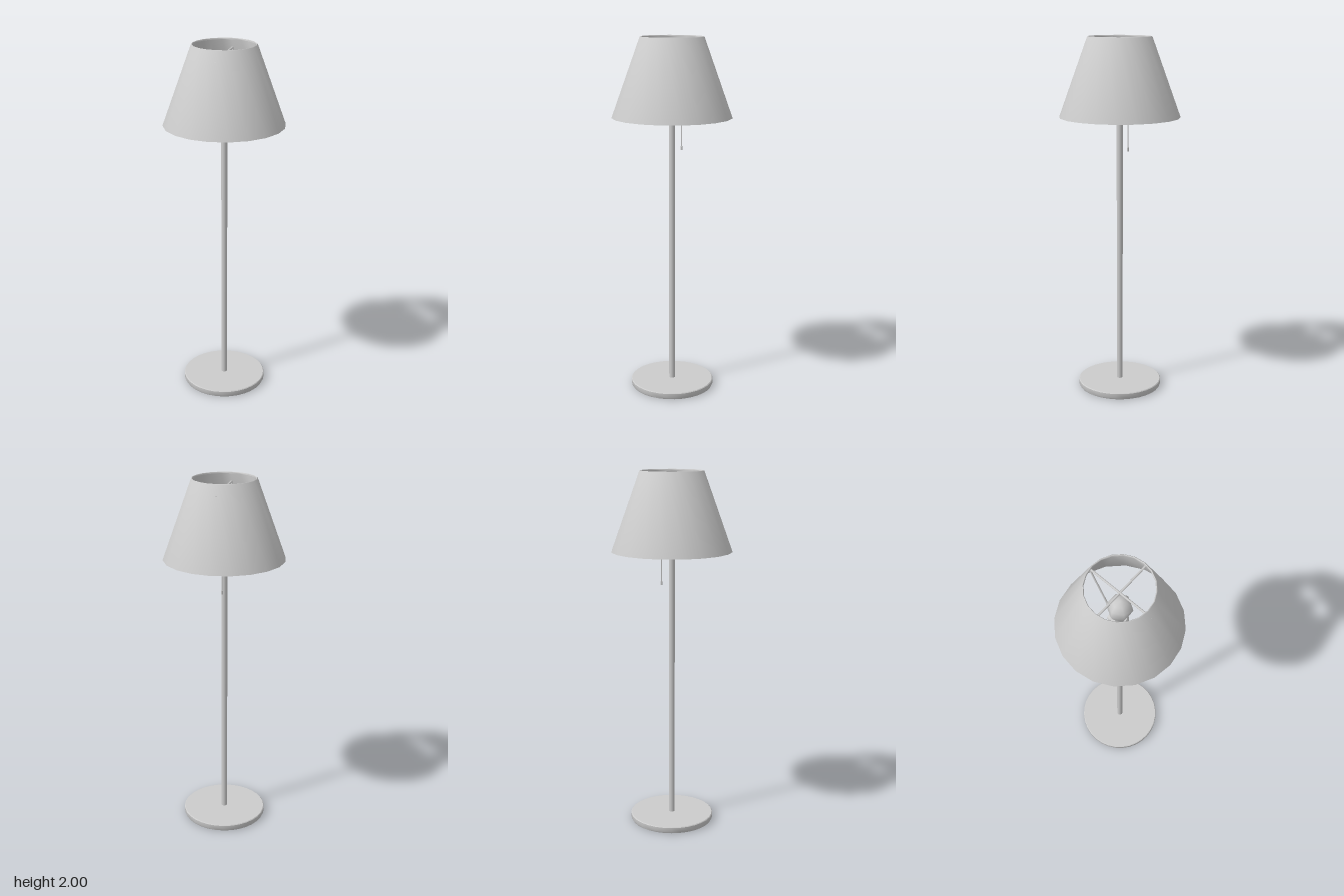
import * as THREE from 'three';
import { toCreasedNormals } from 'three/addons/utils/BufferGeometryUtils.js';

export function createModel() {
  const model = new THREE.Group();
  const mat = new THREE.MeshStandardMaterial({ color: 0xcccccc });
  const up = new THREE.Vector3(0, 1, 0);

  const add = (name, geometry) => {
    const mesh = new THREE.Mesh(geometry, mat);
    mesh.name = name;
    model.add(mesh);
    return mesh;
  };
  // Surface of revolution from [radius, height] pairs, listed bottom to top
  const turned = (name, profile, sides, crease = 0.6) => {
    const points = profile.map(([r, y]) => new THREE.Vector2(r, y));
    // starting at a quarter turn puts a corner on the x axis
    const geo = new THREE.LatheGeometry(points, sides, Math.PI / 2);
    return add(name, toCreasedNormals(geo, crease));
  };
  // Straight round bar between two points
  const rod = (name, a, b, radius, sides = 8) => {
    const from = new THREE.Vector3(...a), to = new THREE.Vector3(...b);
    const dir = to.clone().sub(from);
    const mesh = add(name, new THREE.CylinderGeometry(radius, radius, dir.length(), sides));
    mesh.position.copy(from).add(to).multiplyScalar(0.5);
    mesh.quaternion.setFromUnitVectors(up, dir.normalize());
    return mesh;
  };

  // Base disc and pole
  turned('base', [[0, 0], [0.232, 0], [0.237, 0.01], [0.237, 0.033], [0.233, 0.037], [0, 0.037]], 32);
  rod('pole', [0, 0.03, 0], [0, 1.54, 0], 0.017, 16);

  // Thin-walled shade with a rounded upper rim
  turned('shade', [
    [0.328, 1.566], [0.333, 1.565], [0.178, 1.992], [0.175, 1.998], [0.172, 2],
    [0.169, 1.998], [0.168, 1.992], [0.328, 1.566],
  ], 20, 1);

  // Socket: collar, waist and cup
  turned('socket', [
    [0, 1.525], [0.043, 1.525], [0.046, 1.53], [0.046, 1.565], [0.034, 1.575], [0.034, 1.595],
    [0.046, 1.605], [0.046, 1.64], [0.036, 1.655], [0, 1.655],
  ], 16);

  // Six-sided bulb
  turned('bulb', [
    [0.032, 1.65], [0.036, 1.68], [0.055, 1.725], [0.067, 1.77], [0.06, 1.81], [0.038, 1.84], [0, 1.852],
  ], 6, 1.3);

  // Switch and pull cord at the back
  rod('switch', [0, 1.557, -0.03], [0, 1.557, -0.073], 0.017, 12);
  rod('pullCord', [0, 1.385, -0.058], [0, 1.555, -0.058], 0.0035, 6);
  rod('pullCordEnd', [0, 1.38, -0.058], [0, 1.4, -0.058], 0.005, 8);

  // Cross bars and the slanted arms that hold the shade
  rod('crossBarX', [-0.19, 1.945, 0], [0.19, 1.945, 0], 0.006);
  rod('crossBarZ', [0, 1.945, -0.192], [0, 1.945, 0.192], 0.006);
  for (const s of [-1, 1]) {
    rod('shadeArm', [0, 1.61, s * 0.04], [0, 1.945, s * 0.192], 0.005);
  }

  return model;
}
